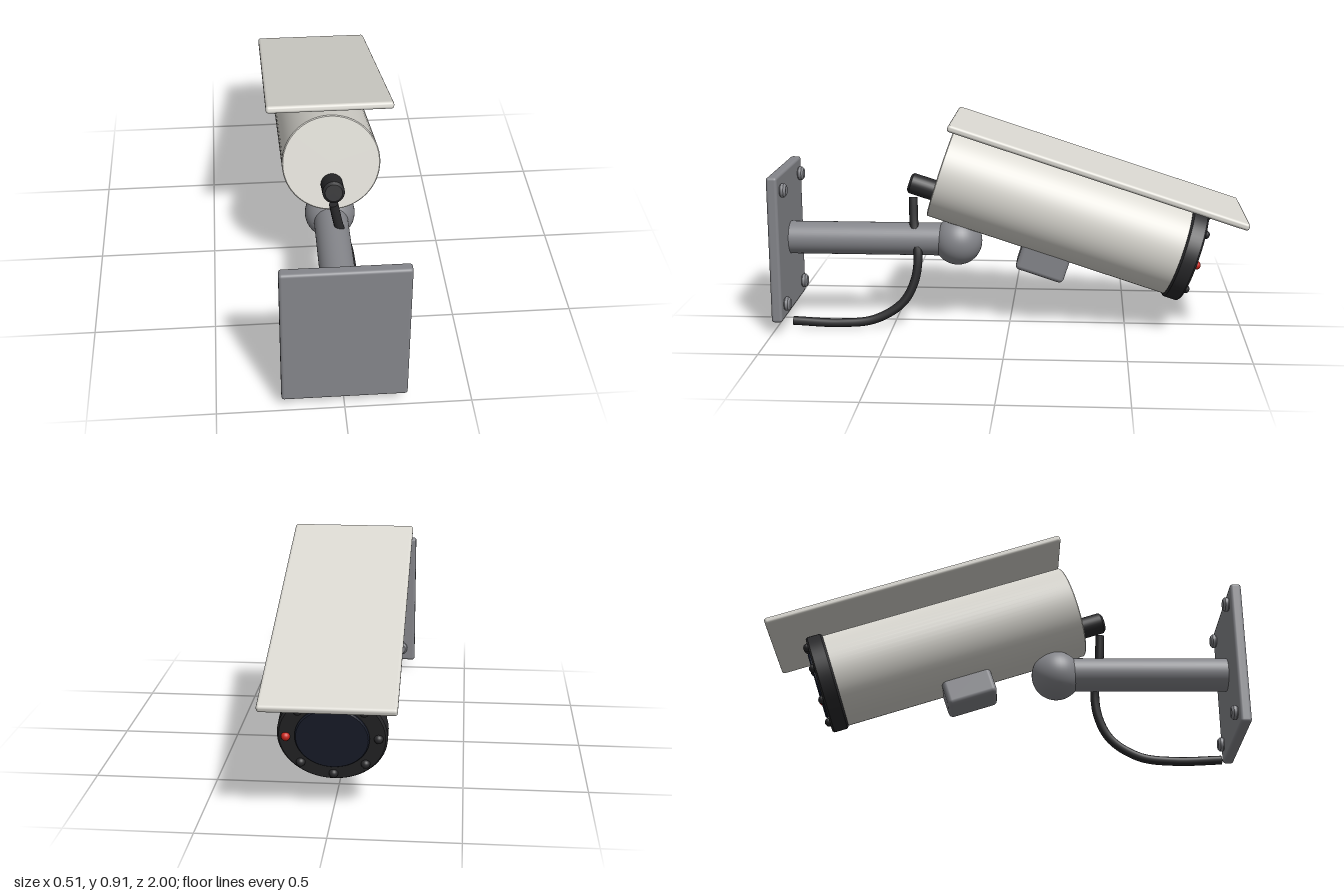
import * as THREE from 'three';
import { RoundedBoxGeometry } from 'three/addons/geometries/RoundedBoxGeometry.js';

const mat = (color) => new THREE.MeshStandardMaterial({ color });

export function createModel() {
  const model = new THREE.Group();
  const shell = mat(0xdad8d1), metal = mat(0x85868b), black = mat(0x29292b);
  const glass = mat(0x1c2130), red = mat(0xc8241c);

  function add(parent, name, geometry, material, x = 0, y = 0, z = 0) {
    const mesh = new THREE.Mesh(geometry, material);
    mesh.name = name;
    mesh.position.set(x, y, z);
    parent.add(mesh);
    return mesh;
  }
  // Solid cylinder along z with a small chamfer at both ends
  function rod(radius, length, bevel = 0.005, segments = 64) {
    const h = length / 2, r = radius, b = bevel;
    const rings = [[[0, -h], [r - b, -h]], [[r - b, -h], [r, -h + b]], [[r, -h + b], [r, h - b]],
      [[r, h - b], [r - b, h]], [[r - b, h], [0, h]]];
    // points are doubled at the corners so that the edges stay crisp
    const pts = rings.flat().map(([px, py]) => new THREE.Vector2(px, py));
    const g = new THREE.LatheGeometry(pts, segments);
    const n = g.attributes.normal, per = pts.length;
    for (let i = 0; i < n.count; i++) {
      const k = Math.floor((i % per) / 2), a = (Math.floor(i / per) / segments) * Math.PI * 2;
      const radial = [0, Math.SQRT1_2, 1, Math.SQRT1_2, 0][k];
      const axial = [-1, -Math.SQRT1_2, 0, Math.SQRT1_2, 1][k];
      n.setXYZ(i, radial * Math.sin(a), axial, radial * Math.cos(a));
    }
    return g.rotateX(Math.PI / 2);
  }

  // Wall bracket: plate, four domed bolts, arm and ball joint
  const bracket = new THREE.Group();
  bracket.name = 'wallBracket';
  model.add(bracket);
  add(bracket, 'wallPlate', new RoundedBoxGeometry(0.492, 0.628, 0.046, 3, 0.012), metal, 0, 0.369, 0.977);
  for (const x of [-0.18, 0.18]) {
    for (const y of [0.121, 0.617]) {
      add(bracket, 'bolt', rod(0.03, 0.03, 0.009, 24), metal, x, y, 0.943);
    }
  }
  add(bracket, 'arm', rod(0.071, 0.7, 0.004, 48), metal, 0, 0.37, 0.61);
  add(bracket, 'ballJoint', new THREE.SphereGeometry(0.105, 40, 28), metal, 0, 0.365, 0.225);

  // Camera head, tilted downwards; its origin is the centre of the rear cap
  const head = new THREE.Group();
  head.name = 'cameraHead';
  head.position.set(0, 0.67, 0.295);
  head.rotation.x = -0.314;
  model.add(head);
  add(head, 'housing', rod(0.2, 1.08, 0.004), shell, 0, 0, -0.54);
  add(head, 'sunShield', new RoundedBoxGeometry(0.514, 0.03, 1.3, 3, 0.012), shell, 0, 0.235, -0.63);
  add(head, 'mountBlock', new RoundedBoxGeometry(0.16, 0.14, 0.215, 3, 0.02), metal, 0, -0.22, -0.537);
  add(head, 'cableGland', rod(0.045, 0.135, 0.01, 32), black, 0, -0.09, 0.048);

  // Front bezel with lens window and a ring of lamps
  add(head, 'frontBezel', rod(0.211, 0.072, 0.008), black, 0, 0, -1.102);
  add(head, 'lensWindow', rod(0.143, 0.03, 0.005), glass, 0, 0, -1.133);
  for (let i = 0; i < 8; i++) {
    const a = (i / 8) * Math.PI * 2;
    add(head, i ? 'lamp' : 'statusLamp', new THREE.SphereGeometry(0.018, 16, 12),
      i ? black : red, 0.177 * Math.cos(a), 0.177 * Math.sin(a), -1.14);
  }

  // Cable hanging from the gland, passing the arm and running back to the wall
  const path = new THREE.CatmullRomCurve3([
    [0.0, 0.555, 0.418], [0.025, 0.43, 0.412], [0.062, 0.31, 0.393], [0.08, 0.2, 0.408],
    [0.095, 0.107, 0.46], [0.11, 0.036, 0.58], [0.122, 0.021, 0.73], [0.132, 0.031, 0.93],
  ].map((p) => new THREE.Vector3(...p)));
  const cable = new THREE.Group();
  cable.name = 'cable';
  model.add(cable);
  add(cable, 'cableTube', new THREE.TubeGeometry(path, 80, 0.019, 12), black);
  for (const t of [0, 1]) {
    const p = path.getPointAt(t), dir = path.getTangentAt(t).multiplyScalar(t ? 1 : -1);
    const cap = add(cable, 'cableEnd', new THREE.CircleGeometry(0.019, 12), black, p.x, p.y, p.z);
    cap.quaternion.setFromUnitVectors(new THREE.Vector3(0, 0, 1), dir);
  }

  return model;
}
